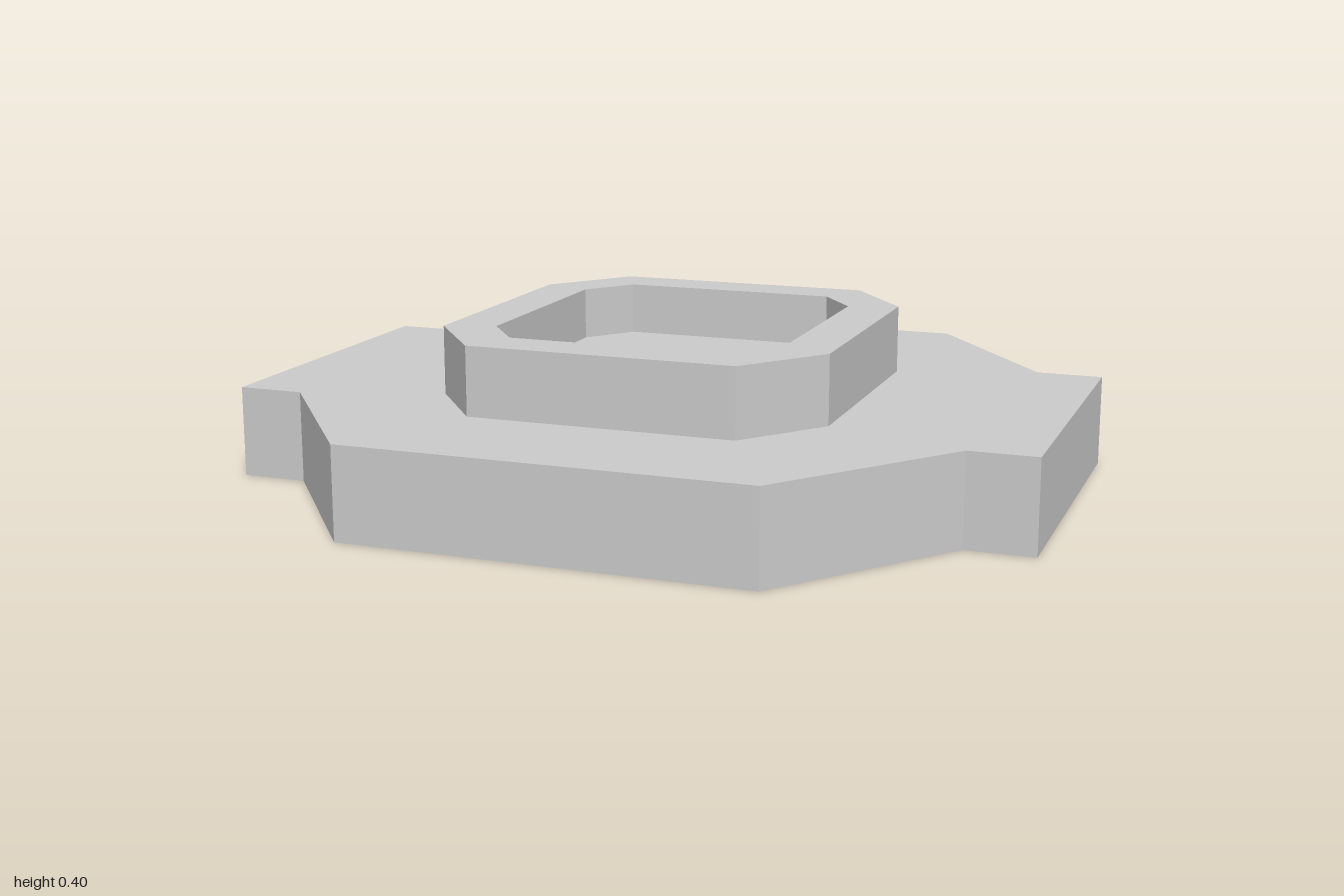
import * as THREE from 'three';

const material = new THREE.MeshStandardMaterial({
  color: 0xcccccc, flatShading: true, side: THREE.DoubleSide,
});

// Plan points are (x, -z), listed counter-clockwise seen from above.
// Mirrors one quarter outline (from the +x side round to the -z side) into all four quarters.
function mirrorQuarter(quarter) {
  const flip = (sx, sy) => quarter.map(([x, y]) => [x * sx, y * sy]);
  return [...quarter, ...flip(-1, 1).reverse(), ...flip(-1, -1), ...flip(1, -1).reverse()];
}

const toVectors = (points) => points.map(([x, y]) => new THREE.Vector2(x, y));

// Flat sheet at a height, with an optional hole
function sheet(name, outline, height, hole) {
  const shape = new THREE.Shape(toVectors(outline));
  if (hole) shape.holes.push(new THREE.Path(toVectors(hole)));
  const geometry = new THREE.ShapeGeometry(shape);
  geometry.rotateX(-Math.PI / 2).translate(0, height, 0);
  const mesh = new THREE.Mesh(geometry, material);
  mesh.name = name;
  return mesh;
}

// Thin upright wall along a plan path
function wall(name, path, bottom, top, closed = true) {
  const positions = [];
  const count = closed ? path.length : path.length - 1;
  for (let i = 0; i < count; i++) {
    const [ax, ay] = path[i];
    const [bx, by] = path[(i + 1) % path.length];
    const a0 = [ax, bottom, -ay], b0 = [bx, bottom, -by];
    const a1 = [ax, top, -ay], b1 = [bx, top, -by];
    positions.push(...a0, ...b0, ...b1, ...a0, ...b1, ...a1);
  }
  const geometry = new THREE.BufferGeometry();
  geometry.setAttribute('position', new THREE.Float32BufferAttribute(positions, 3));
  geometry.computeVertexNormals();
  const mesh = new THREE.Mesh(geometry, material);
  mesh.name = name;
  return mesh;
}

export function createModel() {
  const model = new THREE.Group();
  model.name = 'steppedBase';

  const baseTop = 0.227, rimTop = 0.397, floorHeight = 0.265;
  const base = mirrorQuarter([[1, 0.432], [0.834, 0.432], [0.5, 0.864]]);
  const rimOuter = mirrorQuarter([[0.49, 0.32], [0.332, 0.523]]);
  const rimInner = mirrorQuarter([[0.367, 0.28], [0.275, 0.4]]);

  // Base shell, open underneath, with a tab on each side
  model.add(
    sheet('baseTop', base, baseTop, rimOuter),
    wall('baseWall', base, 0, baseTop),
  );

  // Raised rim, whose outer wall runs down to the ground
  model.add(
    sheet('rimTop', rimOuter, rimTop, rimInner),
    wall('rimOuterWall', rimOuter, 0, rimTop),
  );

  // Recess inside the rim
  model.add(
    wall('recessWall', [...rimInner].reverse(), floorHeight, rimTop),
    sheet('recessFloor', rimInner, floorHeight),
  );

  // Short inner walls behind half of each tab, turned half a circle apart
  for (const s of [1, -1]) {
    const path = [[0.834 * s, 0], [0.834 * s, 0.432 * s]];
    model.add(wall(s > 0 ? 'leftInnerWall' : 'rightInnerWall', path, 0, baseTop, false));
  }

  return model;
}
